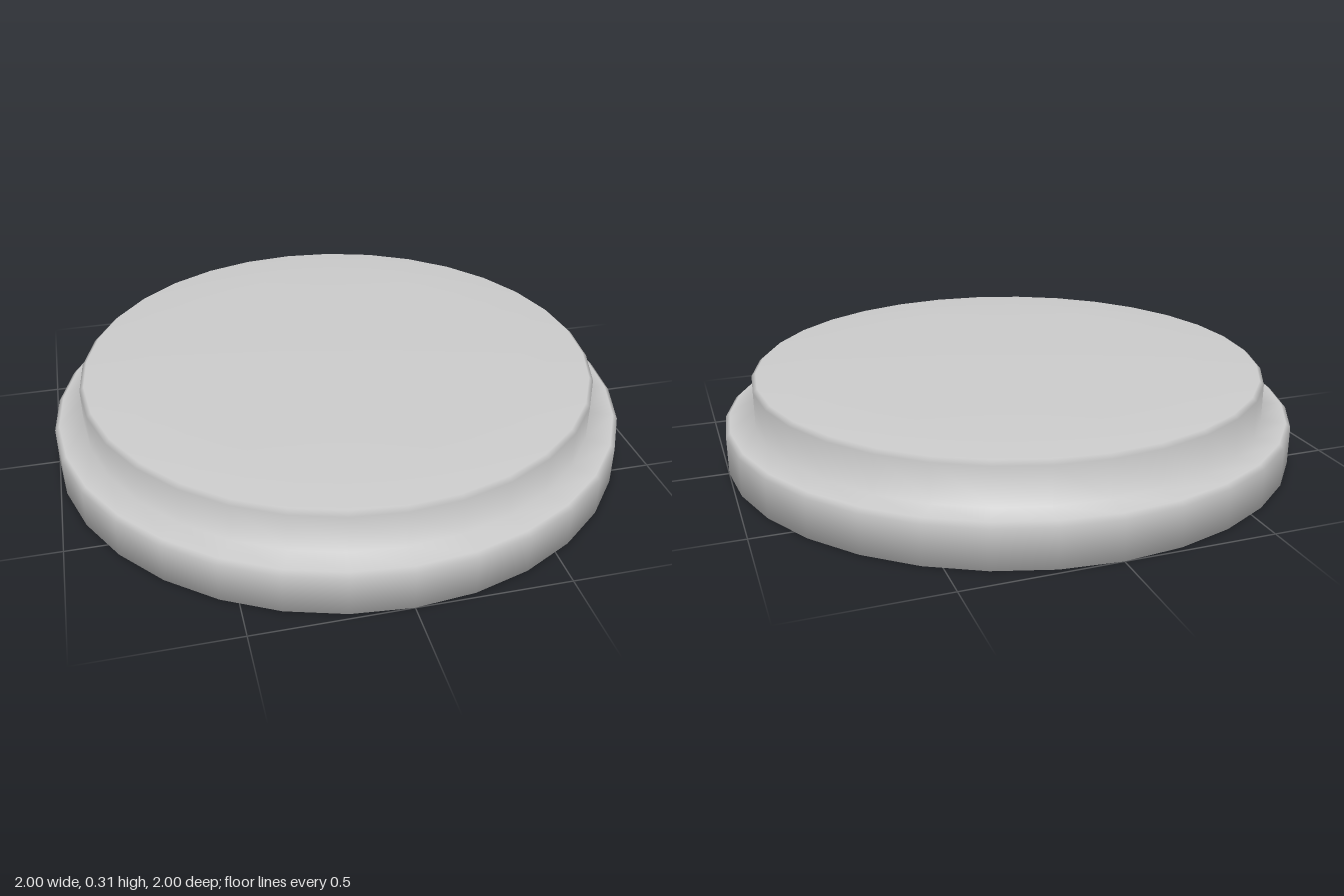
import * as THREE from 'three';

const SIDES = 32;

// Cross-section of the thin sheet (radius, height), from the inner lip to the middle of the top
const PROFILE = [
  // lip turned inwards under the skirt
  [0.905, 0], [1, 0],
  // skirt wall and bevelled shoulder
  [1, 0.132], [0.984, 0.146], [0.9, 0.148],
  // crown wall and bevelled edge
  [0.9, 0.278], [0.885, 0.291],
  // slightly domed top
  [0.66, 0.299], [0.44, 0.304], [0.22, 0.309], [0, 0.309],
];

export function createModel() {
  const group = new THREE.Group();
  group.name = 'lid';

  // One open sheet, hollow below, so the inside shows as well
  const sheet = new THREE.Mesh(
    new THREE.LatheGeometry(PROFILE.map(([r, y]) => new THREE.Vector2(r, y)), SIDES),
    new THREE.MeshStandardMaterial({ color: 0xcccccc, side: THREE.DoubleSide }),
  );
  sheet.name = 'lidShell';
  group.add(sheet);

  return group;
}
